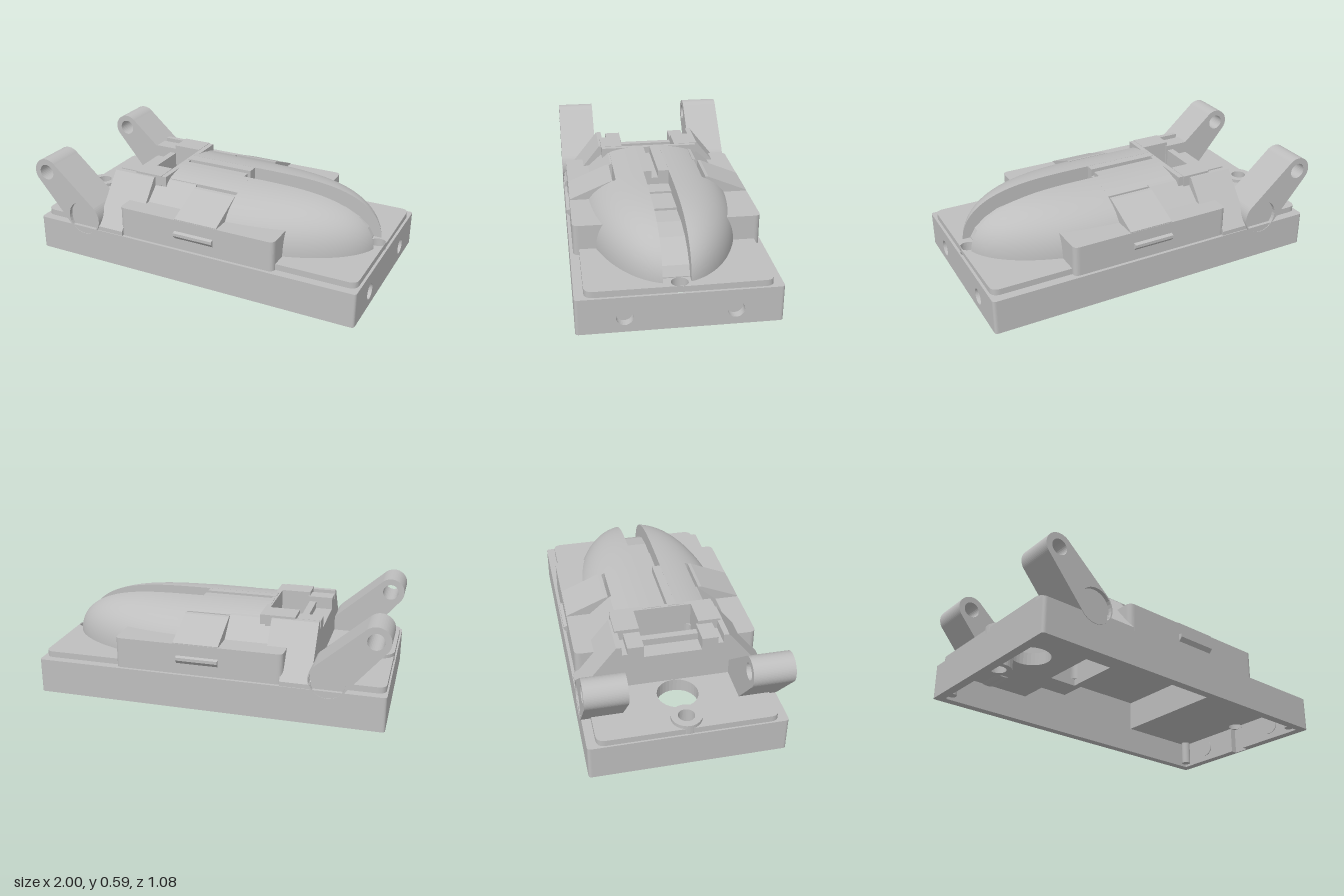
import * as THREE from 'three';
import { toCreasedNormals } from 'three/addons/utils/BufferGeometryUtils.js';

export function createModel() {
  const root = new THREE.Group();
  const grey = new THREE.MeshStandardMaterial({ color: 0xbebebe });
  grey.name = 'plain grey';

  const add = (name, geo) => {
    const mesh = new THREE.Mesh(geo, grey);
    mesh.name = name;
    root.add(mesh);
    return mesh;
  };
  // closed outline with softened corners
  const poly = (pts, r = 0, T = THREE.Shape) => {
    const s = new T();
    const V = pts.map(p => new THREE.Vector2(...p)), n = V.length;
    if (!r) return s.setFromPoints(V);
    V.forEach((p, i) => {
      const toward = q => p.clone().add(q.clone().sub(p).setLength(r));
      const a = toward(V[(i + n - 1) % n]), b = toward(V[(i + 1) % n]);
      if (i) s.lineTo(a.x, a.y); else s.moveTo(a.x, a.y);
      s.quadraticCurveTo(p.x, p.y, b.x, b.y);
    });
    s.closePath();
    return s;
  };
  const rect = (x0, x1, z0, z1) => [[x0, z0], [x1, z0], [x1, z1], [x0, z1]];
  const circle = (x, y, r) => new THREE.Path().absarc(x, y, r, 0, Math.PI * 2, true);
  const extrude = (shape, holes, depth) => {
    shape.holes.push(...holes);
    return new THREE.ExtrudeGeometry(shape, { depth, bevelEnabled: false, curveSegments: 16 });
  };
  // plan outline (x, z) raised from y0 to y1
  const slab = (name, shape, y0, y1, holes = []) =>
    add(name, extrude(shape, holes, y1 - y0).rotateX(Math.PI / 2).translate(0, y1, 0));
  // section (z, y) swept from x0 to x1
  const alongX = (name, shape, x0, x1, holes = []) =>
    add(name, extrude(shape, holes, x1 - x0).rotateY(-Math.PI / 2).translate(x1, 0, 0));
  // side profile (x, y) swept from z0 to z1
  const alongZ = (name, shape, z0, z1, holes = []) =>
    add(name, extrude(shape, holes, z1 - z0).translate(0, 0, z0));
  const box = (name, x0, x1, y0, y1, z0, z1) =>
    add(name, new THREE.BoxGeometry(x1 - x0, y1 - y0, z1 - z0)
      .translate((x0 + x1) / 2, (y0 + y1) / 2, (z0 + z1) / 2));

  // hollow base: rim walls open at the bottom, then a pierced top
  const pocket = () => poly([[-0.41, -0.485], [0.44, -0.485], [0.44, 0.485], [-0.41, 0.485],
    [-0.41, 0.31], [-0.24, 0.31], [-0.24, -0.31], [-0.41, -0.31]], 0, THREE.Path);
  const holes = () => [
    pocket(),
    poly(rect(-0.45, -0.28, -0.16, 0.17), 0, THREE.Path),
    circle(-0.7, 0, 0.113), circle(-0.9, 0, 0.045), circle(0.945, 0, 0.045),
  ];
  slab('baseRim', poly([[1, -0.535], [-0.99, -0.535], [-0.99, 0.535], [1, 0.535],
    [1, 0.485], [-0.94, 0.485], [-0.94, -0.485], [1, -0.485]], 0.02), 0, 0.18);
  slab('baseTop', poly(rect(-0.99, 1, -0.535, 0.535), 0.02), 0.16, 0.2, holes());
  slab('raisedPlate', poly(rect(-0.98, 0.985, -0.485, 0.485), 0.05), 0.2, 0.235, holes());

  // end wall with two blind pin holes
  box('endWallCentre', 0.99, 1, 0, 0.18, -0.05, 0.05);
  for (const s of [1, -1]) {
    const [z0, z1] = s > 0 ? [0.048, 0.512] : [-0.512, -0.048];
    alongX('endWall', poly(rect(z0, z1, 0, 0.18)), 0.95, 1, [circle(0.285 * s, 0.085, 0.045)]);
    add('pinHoleBottom', new THREE.CylinderGeometry(0.05, 0.05, 0.01, 24)
      .rotateZ(Math.PI / 2).translate(0.95, 0.085, 0.285 * s));
    // corner posts inside the base
    for (const x of [-0.915, 0.925])
      add('cornerPost', new THREE.CylinderGeometry(0.028, 0.028, 0.15, 16).translate(x, 0.09, 0.455 * s));
  }
  // screw boss above and below the top
  const ring = r => new THREE.Shape().absarc(-0.9, 0, r, 0, Math.PI * 2);
  slab('screwBoss', ring(0.083), 0.2, 0.255, [circle(-0.9, 0, 0.045)]);
  slab('screwBossBelow', ring(0.075), 0.02, 0.17, [circle(-0.9, 0, 0.045)]);

  // body with side rails, hollow from below
  const body = () => poly([[-0.43, -0.517], [0.53, -0.517], [0.53, 0.517], [-0.43, 0.517],
    [-0.43, 0.17], [-0.28, 0.17], [-0.28, -0.16], [-0.43, -0.16]], 0.035);
  slab('railBody', body(), 0.2, 0.345, [pocket()]);
  slab('railTop', body(), 0.345, 0.375);

  // rounded dome halves either side of the centre channel; limit trims the width
  const mid = 0.013, gap = 0.0735, N = 40, M = 24;
  const domeHalf = (side, x0, x1, limit) => {
    const pos = [], idx = [], cols = M + 3;
    for (let i = -1; i <= N; i++) {
      const x = x0 + (x1 - x0) * Math.sin(Math.max(i, 0) / N * Math.PI / 2);
      const t = Math.max(0, (x - 0.1) / 0.86);
      const w = Math.max(gap, 0.44 * Math.sqrt(1 - t * t));
      const h = 0.315 * Math.pow(1 - Math.pow(t, 4), 0.45);
      const s0 = gap / w, s1 = Math.min(1, limit / w);
      for (let j = -1; j <= M + 1; j++) {
        const a = Math.min(Math.max(j, 0), M) / M * Math.PI / 2;
        const s = s0 + (s1 - s0) * Math.sin(a);
        const top = 0.2 + h * Math.pow(Math.max(0, 1 - Math.pow(s, 2.5)), 0.4);
        const foot = j < 0 && x >= 0.5 ? 0.2 : 0.36;
        const y = i < 0 || j < 0 || j > M ? Math.min(foot, top) : top;
        pos.push(x, y, mid + side * s * w);
      }
    }
    for (let i = 0; i <= N; i++) for (let j = 0; j < cols - 1; j++) {
      const a = i * cols + j, b = a + 1, c = a + cols, d = c + 1;
      if (side > 0) idx.push(a, b, c, b, d, c);
      else idx.push(a, c, b, b, c, d);
    }
    const g = new THREE.BufferGeometry();
    g.setAttribute('position', new THREE.Float32BufferAttribute(pos, 3));
    g.setIndex(idx);
    return toCreasedNormals(g, 0.6);
  };
  for (const s of [1, -1]) {
    add('domeNose', domeHalf(s, 0.19, 0.947, 1));
    add('domeRear', domeHalf(s, -0.27, 0.19, 0.25 - s * mid));
  }

  // stepped channel floor running down to the nose
  const floor = poly([[0.1, 0.36], [0.5, 0.36], [0.5, 0.2], [0.9, 0.2], [0.9, 0.24], [0.87, 0.29],
    [0.81, 0.34], [0.73, 0.38], [0.6, 0.405], [0.46, 0.405], [0.46, 0.418], [0.26, 0.418],
    [0.26, 0.43], [0.1, 0.43]]);
  alongZ('channelFloor', floor, mid - gap, mid + gap);

  // deck with a narrow slit
  box('deckFloor', -0.27, 0.15, 0.35, 0.47, -0.06, 0.087);
  box('deckSide', -0.27, 0.15, 0.35, 0.513, -0.062, 0);
  box('deckSide', -0.27, 0.15, 0.35, 0.513, 0.038, 0.088);

  // frame around the window
  box('frameBack', -0.28, -0.25, 0.36, 0.51, -0.29, 0.295);
  box('frameFront', -0.585, -0.45, 0.2, 0.42, -0.17, 0.17);
  box('frameStep', -0.49, -0.45, 0.2, 0.46, -0.17, 0.17);

  for (const s of [1, -1]) {
    const near = (name, a, b, y0, y1, z0, z1) =>
      box(name, a, b, y0, y1, Math.min(z0 * s, z1 * s), Math.max(z0 * s, z1 * s));
    near('frameSide', -0.45, -0.28, 0.2, 0.512, s > 0 ? 0.17 : 0.16, 0.297);
    near('frameShoulder', -0.585, -0.44, 0.2, 0.49, 0.16, 0.25);
    near('frameGroove', -0.585, -0.44, 0.2, 0.45, 0.24, 0.29);

    // sloping side panels and wedges
    const section = pts => poly(pts.map(([z, y]) => [z * s, y]));
    alongX('sidePanel', section([[0.28, 0.2], [0.28, 0.5], [0.31, 0.5], [0.53, 0.225], [0.53, 0.2]]),
      -0.585, -0.415);
    alongX('sidePanelEnd', section([[0.28, 0.35], [0.28, 0.5], [0.31, 0.5], [0.43, 0.35]]),
      -0.415, -0.32);
    alongX('upperWedge', section([[0.24, 0.35], [0.24, 0.485], [0.26, 0.48], [0.38, 0.375], [0.38, 0.35]]),
      -0.32, -0.07);
    alongX('lowerWedge', section([[0.27, 0.35], [0.27, 0.478], [0.29, 0.475], [0.515, 0.38], [0.515, 0.35]]),
      -0.07, 0.19);
    // clip ridge on the rail
    alongX('clipRidge', section([[0.51, 0.31], [0.537, 0.302], [0.537, 0.285], [0.51, 0.255]]), -0.07, 0.17);

    // lever arm with an eye and a shallow pivot recess
    const P = [-0.675, 0.26], E = [-0.915, 0.506], r = 0.107, e = 0.081;
    const dir = Math.atan2(E[1] - P[1], E[0] - P[0]);
    const lever = () => new THREE.Shape()
      .absarc(E[0], E[1], e, dir - Math.PI / 2, dir + Math.PI / 2)
      .absarc(P[0], P[1], r, dir + Math.PI / 2, dir + Math.PI * 1.5);
    const span = (a, b) => s > 0 ? [a, b] : [-b, -a];
    alongZ('lever', lever(), ...span(0.315, 0.515), [circle(E[0], E[1], 0.046)]);
    alongZ('leverOuterFace', lever(), ...span(0.515, 0.538),
      [circle(E[0], E[1], 0.046), circle(P[0], P[1], 0.1)]);
  }
  return root;
}
